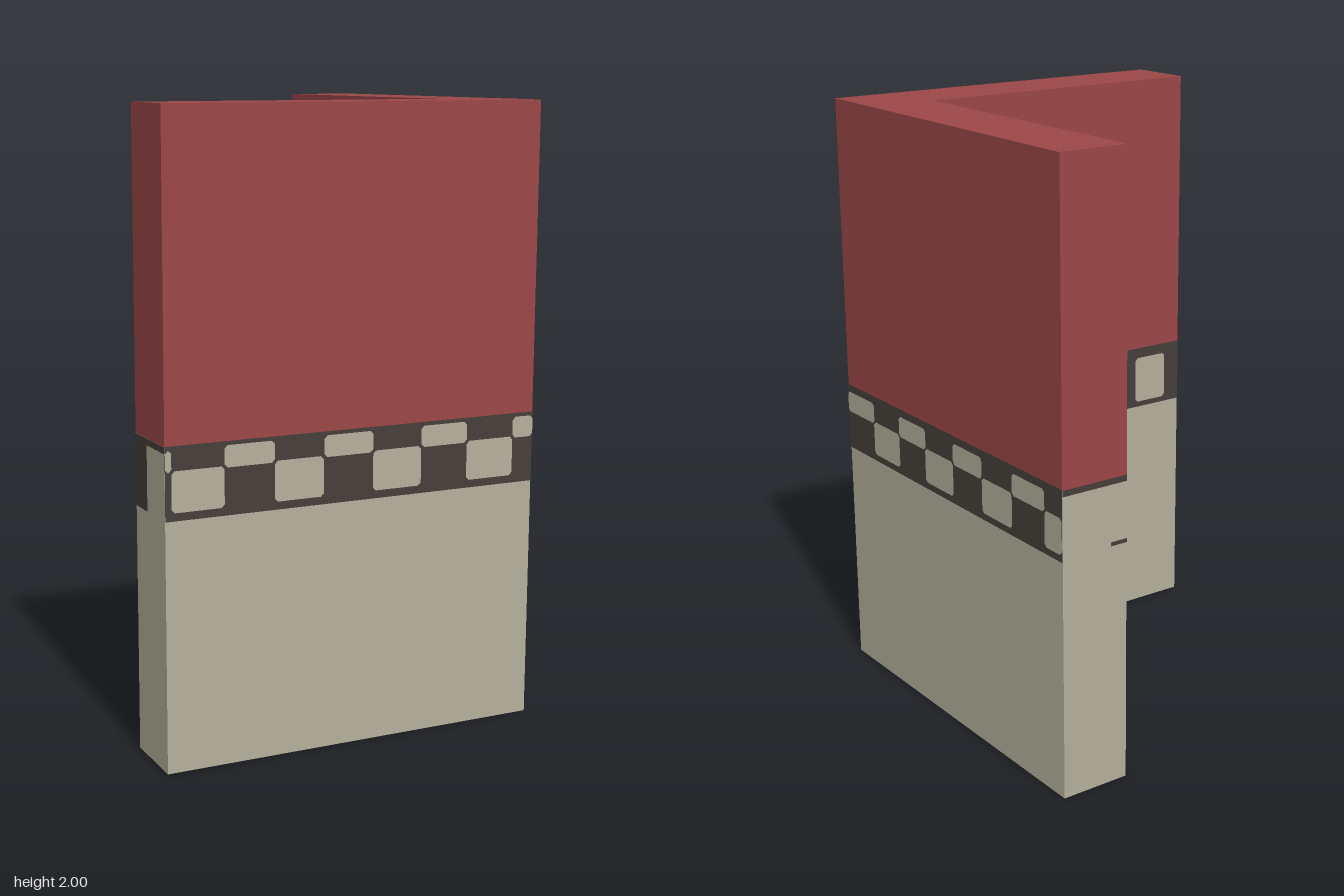
import * as THREE from 'three';

const brick = new THREE.MeshStandardMaterial({ color: 0x9b4648 });
brick.name = 'red paint';
const plaster = new THREE.MeshStandardMaterial({ color: 0xb4b09c });
plaster.name = 'pale plaster';
const dark = new THREE.MeshStandardMaterial({ color: 0x453f39 });
dark.name = 'dark trim';

const X = 0.635, Z = 0.645, IX = 0.4, IZ = 0.41;

// L-shaped wall section between two heights
function wall(name, y0, y1, material) {
  const shape = new THREE.Shape([
    [-X, -Z], [X, -Z], [X, Z], [IX, Z], [IX, -IZ], [-X, -IZ],
  ].map(([x, y]) => new THREE.Vector2(x, y)));
  const geo = new THREE.ExtrudeGeometry(shape, { depth: y1 - y0, bevelEnabled: false });
  geo.rotateX(-Math.PI / 2);
  const mesh = new THREE.Mesh(geo, material);
  mesh.name = name;
  mesh.position.y = y0;
  return mesh;
}

// Flat patch [u0, u1, y0, y1] with optional softened corners
function patch([u0, u1, y0, y1], offset, material, name, r = 0) {
  const s = new THREE.Shape([
    [u0 + r, y0], [u1 - r, y0], [u1, y0 + r], [u1, y1 - r],
    [u1 - r, y1], [u0 + r, y1], [u0, y1 - r], [u0, y0 + r],
  ].map(([x, y]) => new THREE.Vector2(x, y)));
  const mesh = new THREE.Mesh(
    r ? new THREE.ShapeGeometry(s) : new THREE.PlaneGeometry(u1 - u0, y1 - y0).translate((u0 + u1) / 2, (y0 + y1) / 2, 0),
    material);
  mesh.position.z = offset;
  mesh.name = name;
  return mesh;
}

// Trim on one wall face: turned by angle, lying at the given distance from the axis
function frieze(name, angle, distance, bands, tiles) {
  const g = new THREE.Group();
  g.name = name;
  g.rotation.y = angle;
  const n = new THREE.Vector3(Math.sin(angle), 0, Math.cos(angle));
  g.position.copy(n.multiplyScalar(distance));
  for (const b of bands) g.add(patch(b, 0.0015, dark, 'trimBand'));
  for (const t of tiles) g.add(patch(t, 0.003, plaster, 'paleTile', 0.01));
  return g;
}

const row = (spans, y0, y1) => spans.map(([a, b]) => [a, b, y0, y1]);

export function createModel() {
  const model = new THREE.Group();
  model.name = 'cornerWall';
  model.add(wall('lowerWall', 0, 1.01, plaster), wall('upperWall', 1.01, 2, brick));

  // Outer faces: two staggered rows of tiles
  model.add(frieze('frontFrieze', 0, Z, [[-X, X, 0.785, 1.012]], [
    ...row([[-X, -0.615], [-0.445, -0.28], [-0.113, 0.055], [0.225, 0.39], [0.56, X]], 0.932, 1.0),
    ...row([[-0.615, -0.445], [-0.28, -0.115], [0.055, 0.225], [0.39, 0.56]], 0.81, 0.937),
  ]));
  model.add(frieze('sideFrieze', Math.PI / 2, X, [[-Z, Z, 0.785, 1.015]], [
    ...row([[-Z, -0.465], [-0.297, -0.127], [0.042, 0.212], [0.381, 0.556]], 0.918, 0.99),
    ...row([[-0.468, -0.297], [-0.13, 0.042], [0.212, 0.381], [0.556, Z]], 0.808, 0.925),
  ]));

  // Inner faces: one row of tall tiles under a thin strip
  model.add(frieze('innerFrontFrieze', Math.PI, -IZ, [
    [-IX, X, 0.985, 1.012], [-0.25, -0.116, 0.785, 0.99], [0.034, 0.16, 0.785, 0.99],
    [0.16, X, 0.785, 0.99],
  ], row([[0.16, 0.3], [0.435, 0.57]], 0.805, 0.975)));
  model.add(frieze('innerSideFrieze', -Math.PI / 2, -IX, [[-Z, IZ, 0.79, 1.012]],
    row([[-0.62, -0.48], [-0.43, -0.29], [-0.24, -0.1], [-0.05, 0.09], [0.12, 0.24], [0.27, 0.4]], 0.81, 0.975)));

  // Wall ends
  model.add(frieze('frontWallEnd', -Math.PI / 2, X, [[IZ, 0.505, 0.785, 1.01], [0.505, Z, 0.99, 1.01]], []));
  model.add(frieze('sideWallEnd', Math.PI, Z,
    [[-X, -IX, 0.992, 1.012], [-0.46, -IX, 0.795, 0.808]], []));
  return model;
}
